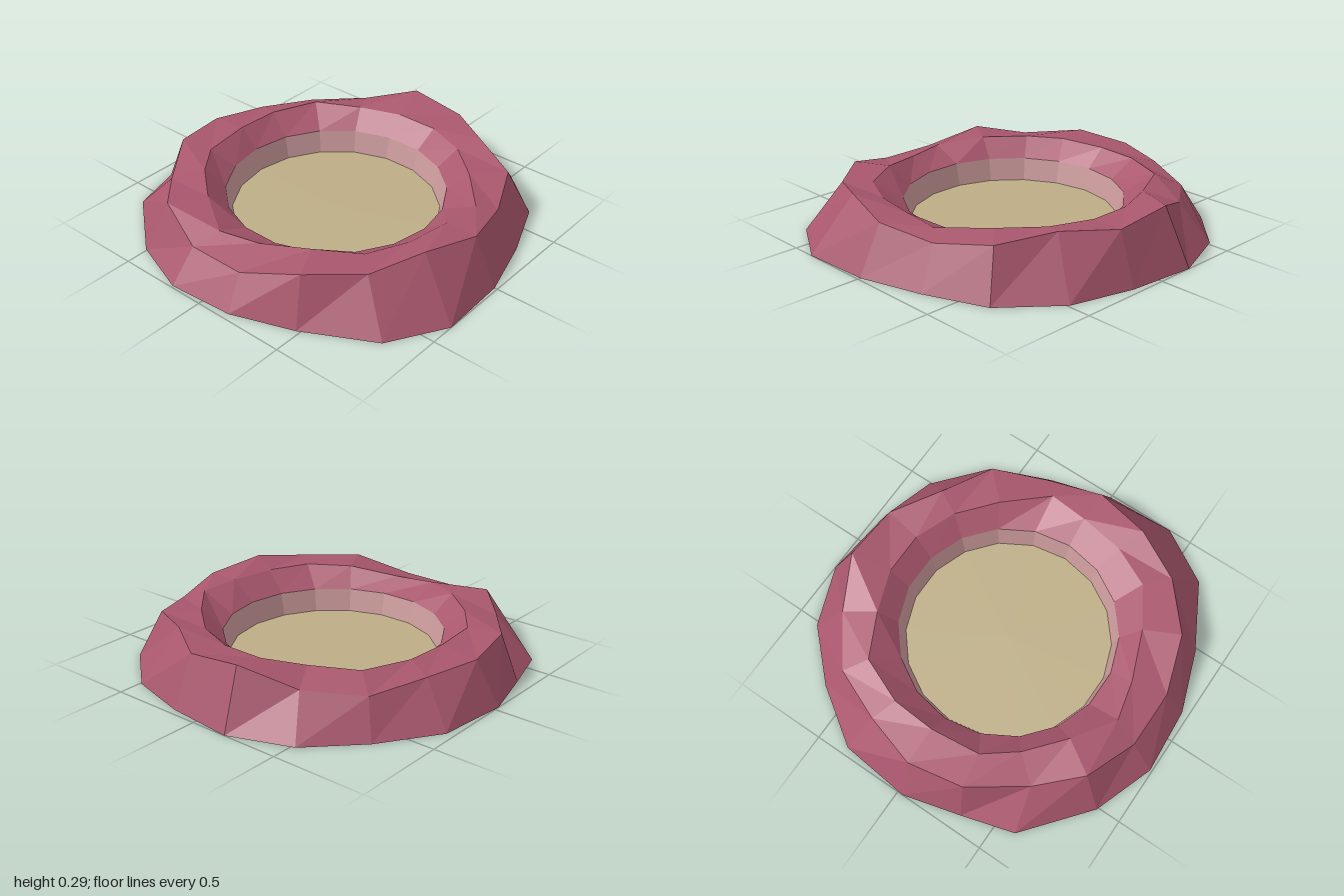
import * as THREE from 'three';

const SIDES = 18;
const CX = -0.013; // axis of the inner basin

const mat = (name, color) => {
  const m = new THREE.MeshStandardMaterial({ color, flatShading: true, side: THREE.DoubleSide });
  m.name = name;
  return m;
};

// regular ring at radius r and height y
const evenRing = (r, y) => Array.from({ length: SIDES }, (_, k) => {
  const a = (k / SIDES) * Math.PI * 2;
  return [CX + r * Math.cos(a), y, r * Math.sin(a)];
});

// irregular ring from (x, z) pairs with a height for each corner
const roughRing = (xz, heights) => xz.map(([x, z], k) => [x, heights[k], z]);

// faces between consecutive rings, ordered from outside to inside
function loft(rings) {
  const pos = [];
  for (let i = 0; i + 1 < rings.length; i++) {
    const A = rings[i], B = rings[i + 1];
    for (let k = 0; k < SIDES; k++) {
      const n = (k + 1) % SIDES;
      pos.push(...A[k], ...B[k], ...A[n], ...A[n], ...B[k], ...B[n]);
    }
  }
  const g = new THREE.BufferGeometry();
  g.setAttribute('position', new THREE.Float32BufferAttribute(pos, 3));
  g.computeVertexNormals();
  return g;
}

export function createModel() {
  const group = new THREE.Group();
  group.name = 'crater';
  const add = (name, geometry, material) => {
    const m = new THREE.Mesh(geometry, material);
    m.name = name;
    group.add(m);
    return m;
  };

  // foot of the mound, starting at +x and turning towards +z
  const foot = roughRing([
    [0.985, 0], [1, 0.37], [0.83, 0.66], [0.48, 0.85], [0.16, 0.965], [-0.19, 0.99],
    [-0.51, 0.875], [-0.84, 0.605], [-0.92, 0.33], [-1, 0.03], [-0.96, -0.345], [-0.76, -0.64],
    [-0.52, -0.88], [-0.2, -1], [0.16, -0.965], [0.49, -0.875], [0.76, -0.645], [0.89, -0.33],
  ], new Array(SIDES).fill(0));

  // outer crest
  const crest = roughRing([
    [0.86, 0], [0.785, 0.3], [0.66, 0.56], [0.43, 0.76], [0.14, 0.86], [-0.17, 0.86],
    [-0.45, 0.76], [-0.64, 0.56], [-0.835, 0.295], [-0.885, 0], [-0.8, -0.28], [-0.68, -0.56],
    [-0.43, -0.745], [-0.165, -0.87], [0.14, -0.86], [0.39, -0.7], [0.66, -0.565], [0.785, -0.295],
  ], [0.245, 0.285, 0.245, 0.245, 0.17, 0.17, 0.245, 0.21, 0.245, 0.225, 0.21, 0.18,
    0.205, 0.295, 0.26, 0.275, 0.245, 0.21]);

  // inner crest
  const lip = roughRing([
    [0.69, 0], [0.65, 0.24], [0.55, 0.45], [0.34, 0.58], [0.09, 0.68], [-0.12, 0.73],
    [-0.34, 0.59], [-0.53, 0.43], [-0.655, 0.265], [-0.685, 0], [-0.67, -0.23], [-0.57, -0.47],
    [-0.34, -0.585], [-0.12, -0.665], [0.11, -0.665], [0.33, -0.58], [0.52, -0.42], [0.71, -0.21],
  ], [0.245, 0.245, 0.245, 0.245, 0.215, 0.215, 0.245, 0.245, 0.24, 0.245, 0.245, 0.245,
    0.245, 0.245, 0.245, 0.245, 0.245, 0.24]);

  const wallTop = evenRing(0.57, 0.148);
  const wallFoot = evenRing(0.54, 0.03);

  add('mound', loft([foot, crest, lip, wallTop]), mat('dark rose', 0xa9576d));
  add('basinWall', loft([wallTop, wallFoot]), mat('pale pink', 0xcb9a9b));

  // flat basin floor
  const floor = add('basinFloor', new THREE.CircleGeometry(0.54, SIDES), mat('sand', 0xbdae86));
  floor.rotation.x = -Math.PI / 2;
  floor.position.set(CX, 0.03, 0);

  return group;
}
